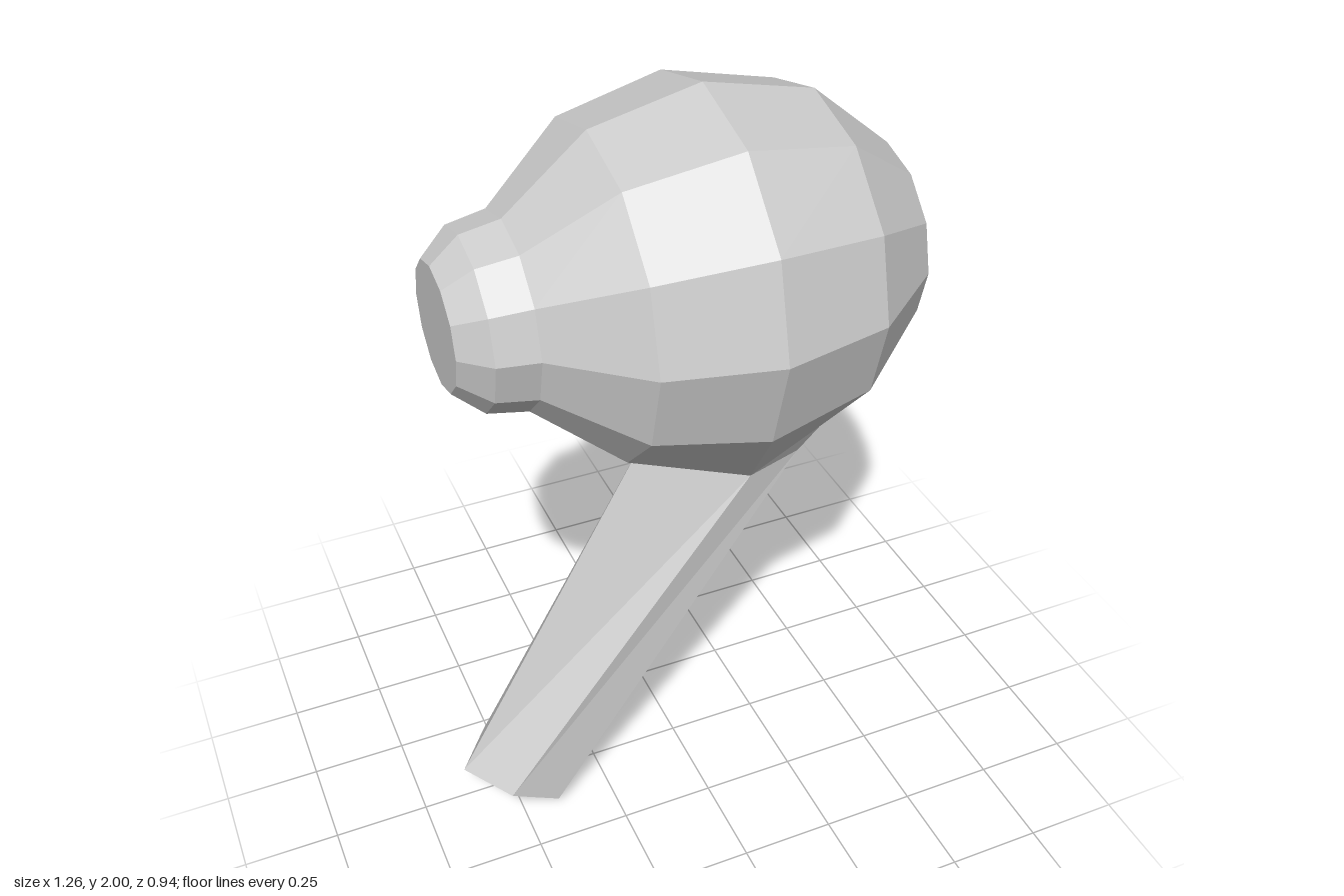
import * as THREE from 'three';

const mat = new THREE.MeshStandardMaterial({ color: 0xcccccc, flatShading: true });

function meshFrom(name, triangles) {
  const geo = new THREE.BufferGeometry();
  geo.setAttribute('position', new THREE.Float32BufferAttribute(triangles.flat(2), 3));
  geo.computeVertexNormals();
  const mesh = new THREE.Mesh(geo, mat);
  mesh.name = name;
  return mesh;
}

// Twelve-sided bulb turned around the x axis, its underside drawn down to the stem
function makeBody(back, shoulders) {
  const profile = [[0, -0.58], [0.155, -0.58], [0.217, -0.51], [0.235, -0.41], [0.407, -0.205],
    [0.47, 0.07], [0.407, 0.35], [0.235, 0.555], [0, 0.63]];
  const geo = new THREE.LatheGeometry(profile.map(([r, x]) => new THREE.Vector2(r, x)), 12);
  geo.rotateZ(-Math.PI / 2).translate(0, 1.53, 0);
  const pos = geo.attributes.position;
  const move = (segment, ring, p) => pos.setXYZ(segment * profile.length + ring, ...p);
  move(3, 4, back);
  move(3, 5, [0.06, 1.06, 0]);
  move(2, 5, shoulders[0]);
  move(4, 5, shoulders[1]);
  const mesh = new THREE.Mesh(geo, mat);
  mesh.name = 'earbudBody';
  return mesh;
}

// Six-sided stem lofted between two rings, closed at the foot
function makeStem(bottom, top) {
  const tris = [];
  const centre = [-0.485, 0.07, 0.02];
  bottom.forEach((b, i) => {
    const j = (i + 1) % bottom.length;
    tris.push([b, bottom[j], top[j]], [b, top[j], top[i]], [bottom[j], b, centre]);
  });
  return meshFrom('stem', tris);
}

// Small facets joining the front of the stem to the bulb
function makeCollar(shoulders, fronts) {
  const keel = [0.35, 1.123, 0];
  const tris = [[fronts[0], fronts[1], keel]];
  [1, -1].forEach((side, i) => {
    const rib = [0.35, 1.178, 0.2035 * side];
    const pair = [[shoulders[i], fronts[i], rib], [fronts[i], keel, rib]];
    pair.forEach((t) => tris.push(side > 0 ? t : t.reverse()));
  });
  return meshFrom('stemCollar', tris);
}

export function createModel() {
  const back = [-0.07, 1.105, 0.01];
  const shoulders = [[0.15, 0.99, 0.145], [0.15, 0.99, -0.11]];
  const fronts = [[0.29, 1.02, 0.13], [0.29, 1.02, -0.1]];
  const top = [back, shoulders[0], fronts[0], [0.295, 1.02, 0.015], fronts[1], shoulders[1]];
  const bottom = [[-0.635, 0.122, 0.02], [-0.54, 0.11, 0.152], [-0.41, 0.04, 0.152],
    [-0.345, 0, 0.02], [-0.41, 0.04, -0.112], [-0.54, 0.11, -0.112]];

  const group = new THREE.Group();
  group.name = 'earbud';
  group.add(makeBody(back, shoulders), makeStem(bottom, top), makeCollar(shoulders, fronts));
  return group;
}
